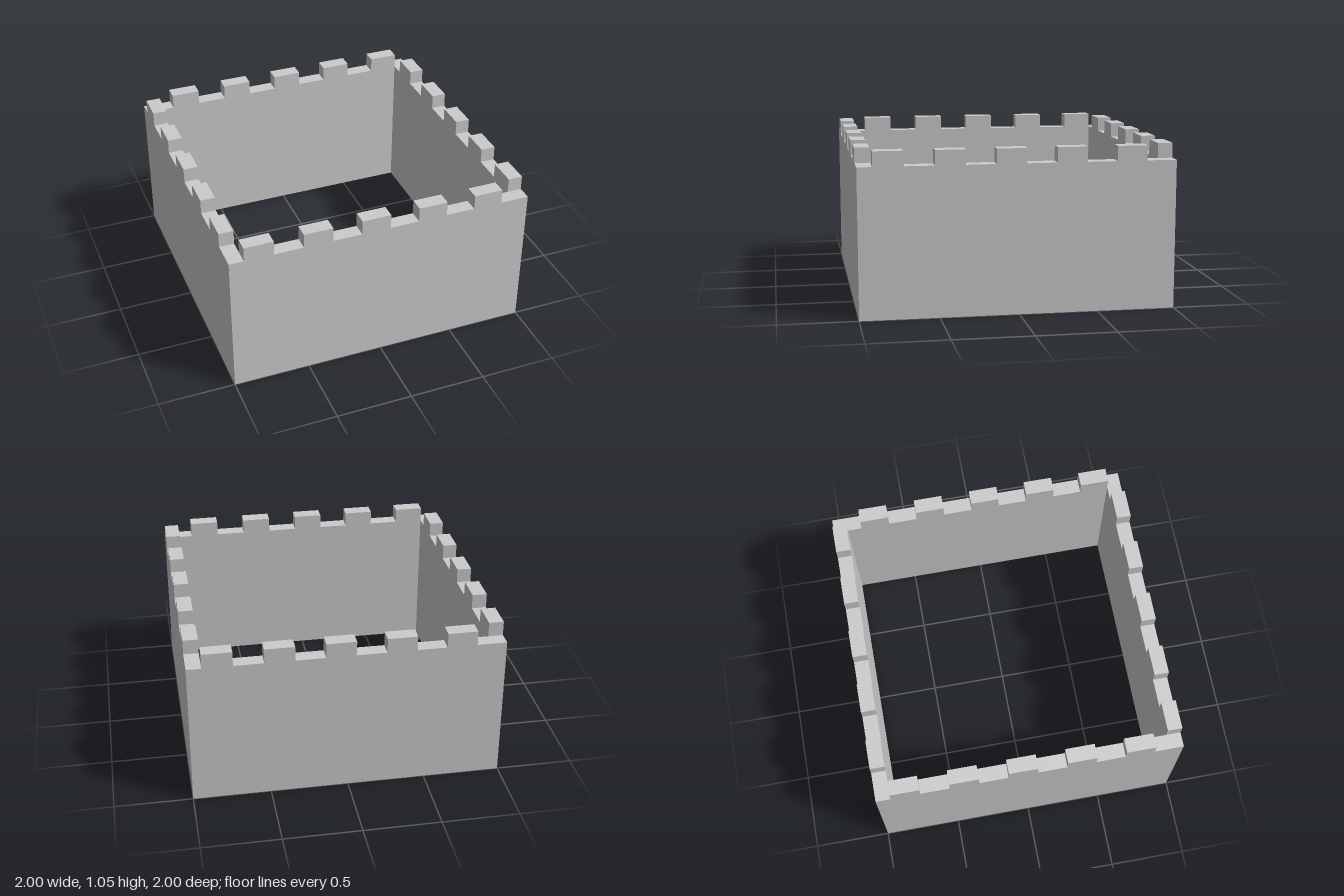
import * as THREE from 'three';

// The whole model sits on a module of 1/21 of its width.
const U = 2 / 21;
const WALL_HEIGHT = 10 * U;
const MERLONS = 5;

export function createModel() {
  const group = new THREE.Group();
  group.name = 'battlementWalls';
  const material = new THREE.MeshStandardMaterial({ color: 0xcccccc, flatShading: true });

  // Crenellated wall outline: merlons two modules wide, one high, two apart
  const outline = new THREE.Shape();
  outline.moveTo(-1, 0);
  outline.lineTo(1 - U, 0);
  outline.lineTo(1 - U, WALL_HEIGHT);
  for (let i = MERLONS - 1; i >= 0; i--) {
    const left = -1 + U + i * 4 * U;
    const right = left + 2 * U;
    outline.lineTo(right, WALL_HEIGHT);
    outline.lineTo(right, WALL_HEIGHT + U);
    outline.lineTo(left, WALL_HEIGHT + U);
    outline.lineTo(left, WALL_HEIGHT);
  }
  outline.lineTo(-1, WALL_HEIGHT);
  outline.closePath();

  const wallGeometry = new THREE.ExtrudeGeometry(outline, { depth: U, bevelEnabled: false });
  wallGeometry.translate(0, 0, 1 - U);

  // Four equal walls, each butting against the next around the square
  ['frontWall', 'leftWall', 'backWall', 'rightWall'].forEach((name, i) => {
    const wall = new THREE.Mesh(wallGeometry, material);
    wall.name = name;
    wall.rotation.y = (i * Math.PI) / 2;
    group.add(wall);
  });

  return group;
}
